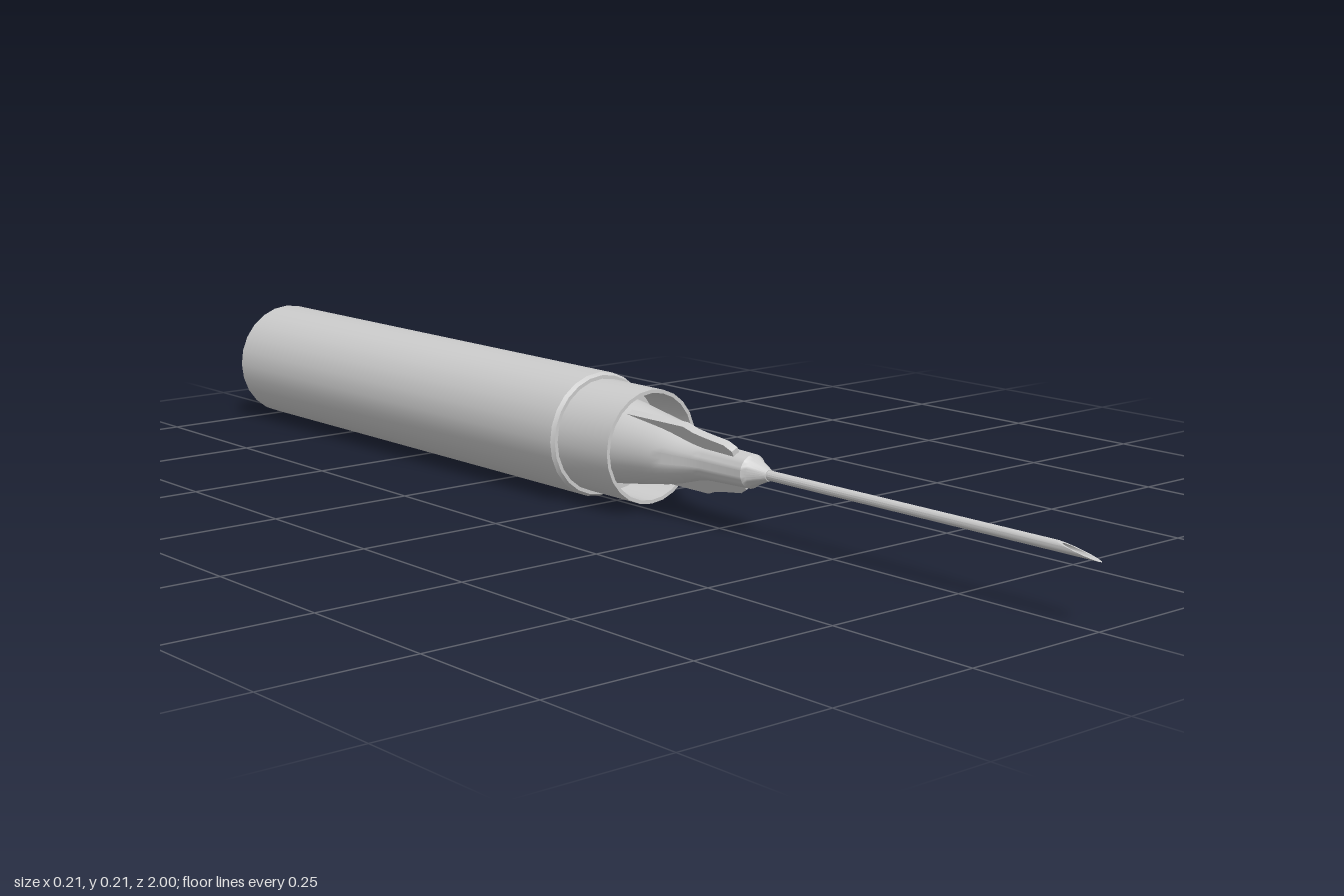
import * as THREE from 'three';
import { toCreasedNormals } from 'three/addons/utils/BufferGeometryUtils.js';

const AXIS_Y = 0.105;

export function createModel() {
  const model = new THREE.Group();
  const material = new THREE.MeshStandardMaterial({ color: 0xcccccc });

  function add(name, geometry, crease = 0.5) {
    const mesh = new THREE.Mesh(toCreasedNormals(geometry, crease), material);
    mesh.name = name;
    mesh.position.y = AXIS_Y;
    model.add(mesh);
    return mesh;
  }

  // Revolve [radius, z] pairs around the long axis
  function revolve(profile, sides) {
    const points = profile.map(([r, z]) => new THREE.Vector2(r, z));
    return new THREE.LatheGeometry(points, sides).rotateX(Math.PI / 2);
  }

  // Closed barrel with a small chamfer at its front edge
  add('barrel', revolve([
    [0, -1], [0.104, -1], [0.104, -0.045], [0.1, -0.038], [0, -0.038],
  ], 24));

  // Cup-shaped collar, open to the front
  add('collar', revolve([
    [0.094, -0.05], [0.094, 0.087], [0.088, 0.087], [0.086, 0], [0, 0],
  ], 24));

  // Flared hub that narrows to a neck and a cone round the needle
  const flare = new THREE.SplineCurve([
    [0.073, 0], [0.068, 0.04], [0.06, 0.09], [0.05, 0.15], [0.035, 0.205], [0.03, 0.235],
  ].map(([r, z]) => new THREE.Vector2(r, z)));
  add('hub', revolve([
    ...flare.getPoints(14).map((p) => [p.x, p.y]),
    [0.027, 0.325], [0.022, 0.332], [0.009, 0.362], [0, 0.362],
  ], 32));

  // Thin stepped fins on opposite sides of the hub
  const finShape = new THREE.Shape([
    [0, 0.01], [0.064, 0.01], [0.064, 0.2], [0.056, 0.22],
    [0.052, 0.24], [0.045, 0.285], [0.036, 0.3], [0, 0.3],
  ].map(([r, z]) => new THREE.Vector2(r, z)));
  for (const [name, turn] of [['upperFin', 0], ['lowerFin', Math.PI]]) {
    const fin = new THREE.ExtrudeGeometry(finShape, { depth: 0.013, bevelEnabled: false });
    fin.translate(0, 0, -0.0065).rotateX(Math.PI / 2);
    add(name, fin).rotation.z = Math.atan2(0.9, -0.43) + turn;
  }

  // Hollow needle, its end slanted so that the point lies at the bottom
  const outer = 0.008;
  const needle = revolve([
    [outer, 0.34], [outer, 1], [0.0055, 1], [0.0055, 0.8], [0, 0.8],
  ], 16);
  const position = needle.attributes.position;
  for (let i = 0; i < position.count; i++) {
    if (position.getZ(i) > 0.95) {
      position.setZ(i, 1 - 0.08 * (position.getY(i) + outer) / (2 * outer));
    }
  }
  add('needle', needle);

  return model;
}
